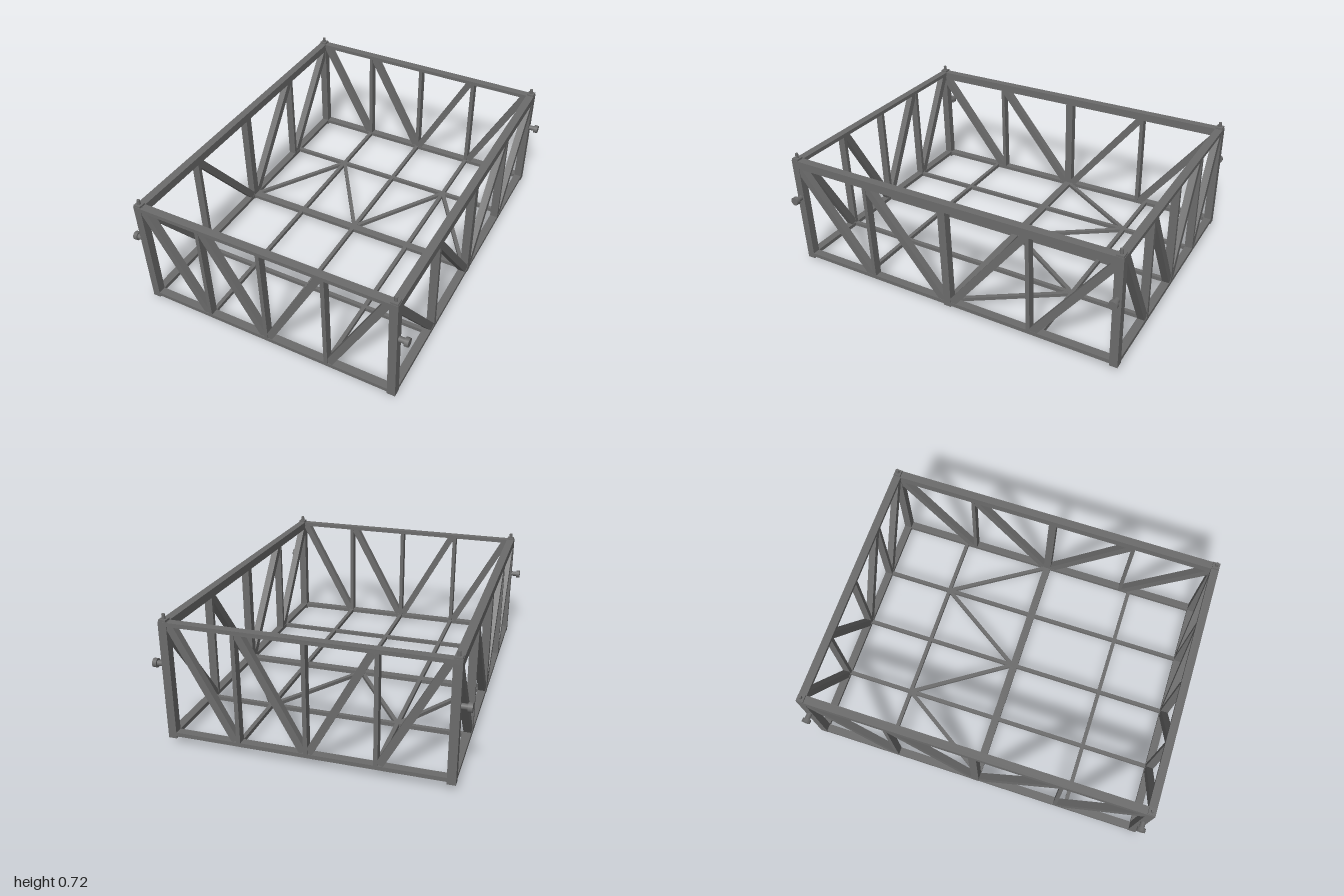
import * as THREE from 'three';

const X = 0.732, Z = 0.971;      // centre lines of the corner posts
const W = 0.045, T = 0.022;      // wide and thin tube sizes
const TOP = 0.65, LOW = 0.024;   // frame top, centre height of the floor members
const BAY = 0.36, SIDE_BAY = 0.495;

export function createModel() {
  const steel = new THREE.MeshStandardMaterial({ color: 0x6b6b6b });
  steel.name = 'steel grey';
  const model = new THREE.Group();
  model.name = 'trussFrame';
  const frame = new THREE.Group();
  frame.name = 'tiltedFrame';
  model.add(frame);

  function box(name, w, h, d, x, y, z) {
    const m = new THREE.Mesh(new THREE.BoxGeometry(w, h, d), steel);
    m.name = name;
    m.position.set(x, y, z);
    frame.add(m);
    return m;
  }

  // straight tube between two points; u is the direction of its depth
  function beam(name, a, b, width, depth, u) {
    const p = new THREE.Vector3(...a), q = new THREE.Vector3(...b);
    const dir = q.clone().sub(p), len = dir.length();
    dir.normalize();
    const zAxis = new THREE.Vector3(...u);
    const xAxis = new THREE.Vector3().crossVectors(dir, zAxis).normalize();
    const m = box(name, width, len, depth, 0, 0, 0);
    m.quaternion.setFromRotationMatrix(new THREE.Matrix4().makeBasis(xAxis, dir, zAxis));
    m.position.copy(p).add(q).multiplyScalar(0.5);
  }

  function cylinder(name, r, h, x, y, z, sideways) {
    const m = new THREE.Mesh(new THREE.CylinderGeometry(r, r, h, 20), steel);
    m.name = name;
    m.position.set(x, y, z);
    if (sideways) m.rotation.z = Math.PI / 2;
    frame.add(m);
  }

  // corner posts with top studs and side trunnions
  for (const sx of [-1, 1]) for (const sz of [-1, 1]) {
    const x = sx * X, z = sz * Z;
    box('cornerPost', W, TOP - 0.02, W, x, (TOP - 0.02) / 2, z);
    box('cornerCap', 0.04, 0.012, 0.04, x, TOP + 0.005, z);
    cylinder('cornerStud', 0.009, 0.04, x, TOP + 0.017, z);
    cylinder('trunnionShaft', 0.015, 0.06, sx * 0.768, 0.414, z, true);
    cylinder('trunnionHead', 0.024, 0.022, sx * 0.798, 0.414, z, true);
  }

  const inner = X - W / 2, innerZ = Z - W / 2;
  const high = TOP - 0.02, low = 0.04;

  // long side trusses
  for (const sx of [-1, 1]) {
    const x = sx * X;
    box('sideTopRail', W, W + 0.002, 2 * Z + W, x, TOP - W / 2, 0);
    box('sideBottomRail', W, T, 2 * innerZ, x, LOW, 0);
    box('sideMiddlePost', W, TOP - W, W, x, (TOP - W) / 2 + 0.005, 0);
    for (const sz of [-1, 1]) {
      box('sideUpright', W, TOP - W - LOW, T, x, (TOP - W + LOW) / 2, sz * SIDE_BAY);
      beam('sideBrace', [x, TOP - W, sz * (Z - 0.012)], [x, low - 0.01, sz * (SIDE_BAY + 0.022)], 0.042, 0.04, [1, 0, 0]);
      beam('sideBrace', [x, TOP - W, sz * (SIDE_BAY - 0.012)], [x, low - 0.01, sz * 0.025], 0.042, 0.04, [1, 0, 0]);
    }
  }

  // end trusses
  for (const sz of [-1, 1]) {
    const z = sz * Z;
    box('endTopRail', 2 * inner, T, W, 0, TOP - T / 2, z);
    box('endBottomRail', 2 * inner, T, W, 0, LOW, z);
    for (const x of [-BAY, 0, BAY])
      box('endUpright', T, TOP - T - LOW, W, x, (TOP - T + LOW) / 2, z);
    for (const sx of [-1, 1]) {
      beam('endBrace', [sx * (inner - 0.012), high, z], [sx * (BAY + 0.018), low, z], 0.04, 0.04, [0, 0, 1]);
      beam('endBrace', [sx * (BAY - 0.022), high, z], [sx * 0.015, low, z], 0.04, 0.04, [0, 0, 1]);
    }
  }

  // floor grid
  box('floorMiddleBeam', 2 * inner, T, W, 0, LOW, 0);
  for (const z of [-0.555, 0.555]) box('floorCrossBeam', 2 * inner, T, T, 0, LOW, z);
  for (const x of [-BAY, 0, BAY]) box('floorLongBeam', T, T, 2 * innerZ, x, LOW, 0);
  for (const sx of [-1, 1]) for (const x of [0.005, inner - 0.005])
    beam('floorBrace', [sx * x, LOW, -0.018], [sx * BAY, LOW, -0.555], T, T - 0.002, [0, 1, 0]);

  // the whole frame leans slightly, back end raised
  frame.rotation.x = 0.0188;
  frame.position.set(0, 0.0187, -0.006);
  return model;
}
